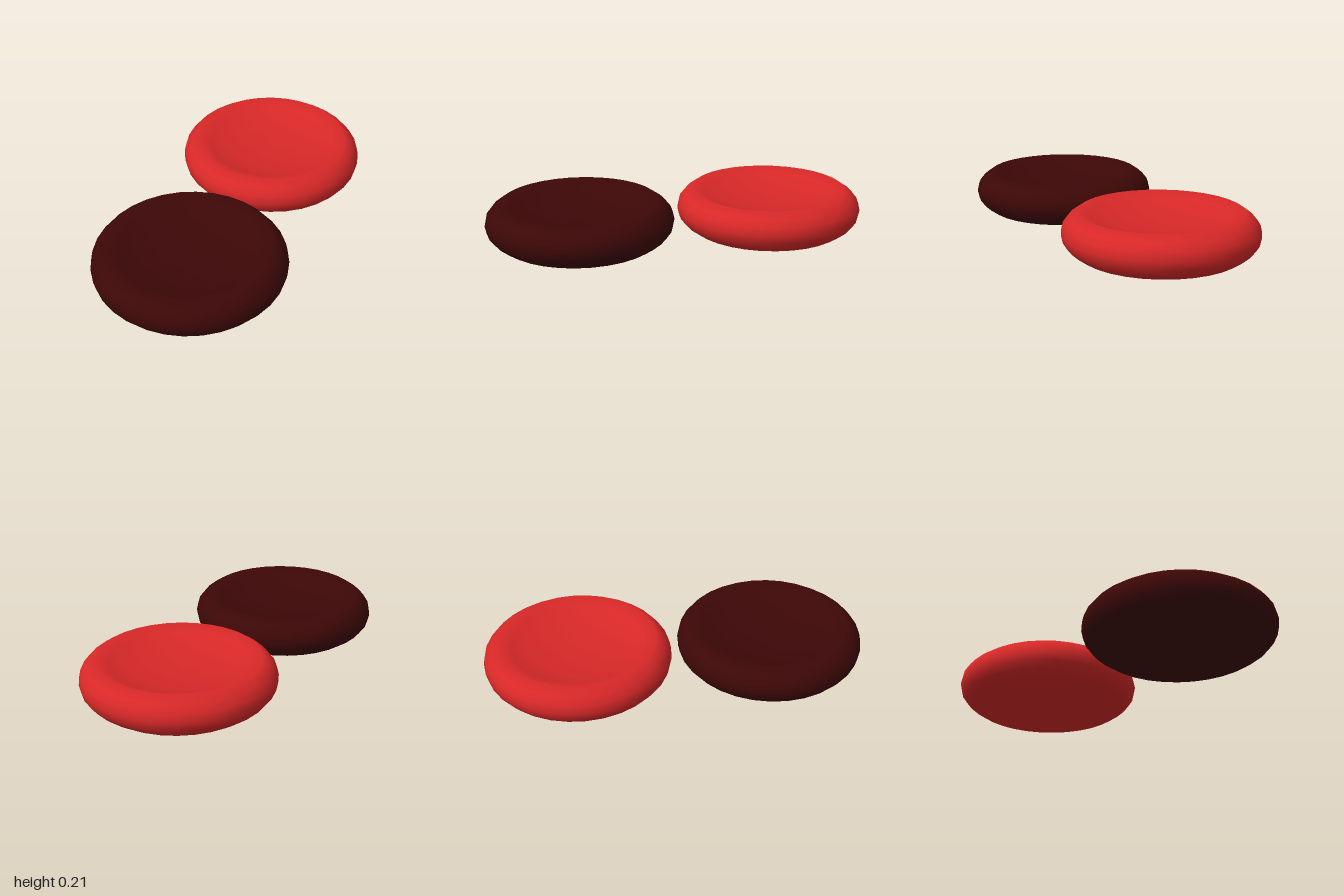
import * as THREE from 'three';

// Radius and half thickness, from the equator over the crest into the dimple
const UPPER = [
  [0.481, 0.041], [0.453, 0.076], [0.408, 0.107],
  [0.346, 0.081], [0.272, 0.063], [0.188, 0.050], [0.096, 0.042], [0, 0.039],
];
const MID = 0.107;

// Smooth biconcave disc, the same above and below
function discGeometry() {
  const lower = UPPER.map(([r, h]) => new THREE.Vector2(r, MID - h)).reverse();
  const upper = UPPER.map(([r, h]) => new THREE.Vector2(r, MID + h));
  return new THREE.LatheGeometry([...lower, new THREE.Vector2(0.49, MID), ...upper], 32);
}

export function createModel() {
  const group = new THREE.Group();
  group.name = 'bloodCells';

  const brightRed = new THREE.MeshStandardMaterial({ color: 0xd92828 });
  brightRed.name = 'bright red';
  const darkRed = new THREE.MeshStandardMaterial({ color: 0x3d0707 });
  darkRed.name = 'dark red';

  // One dark cell in front, one bright cell behind
  const geometry = discGeometry();
  for (const [name, material, z] of [['darkCell', darkRed, 0.51], ['brightCell', brightRed, -0.51]]) {
    const cell = new THREE.Mesh(geometry, material);
    cell.name = name;
    cell.position.z = z;
    group.add(cell);
  }
  return group;
}
